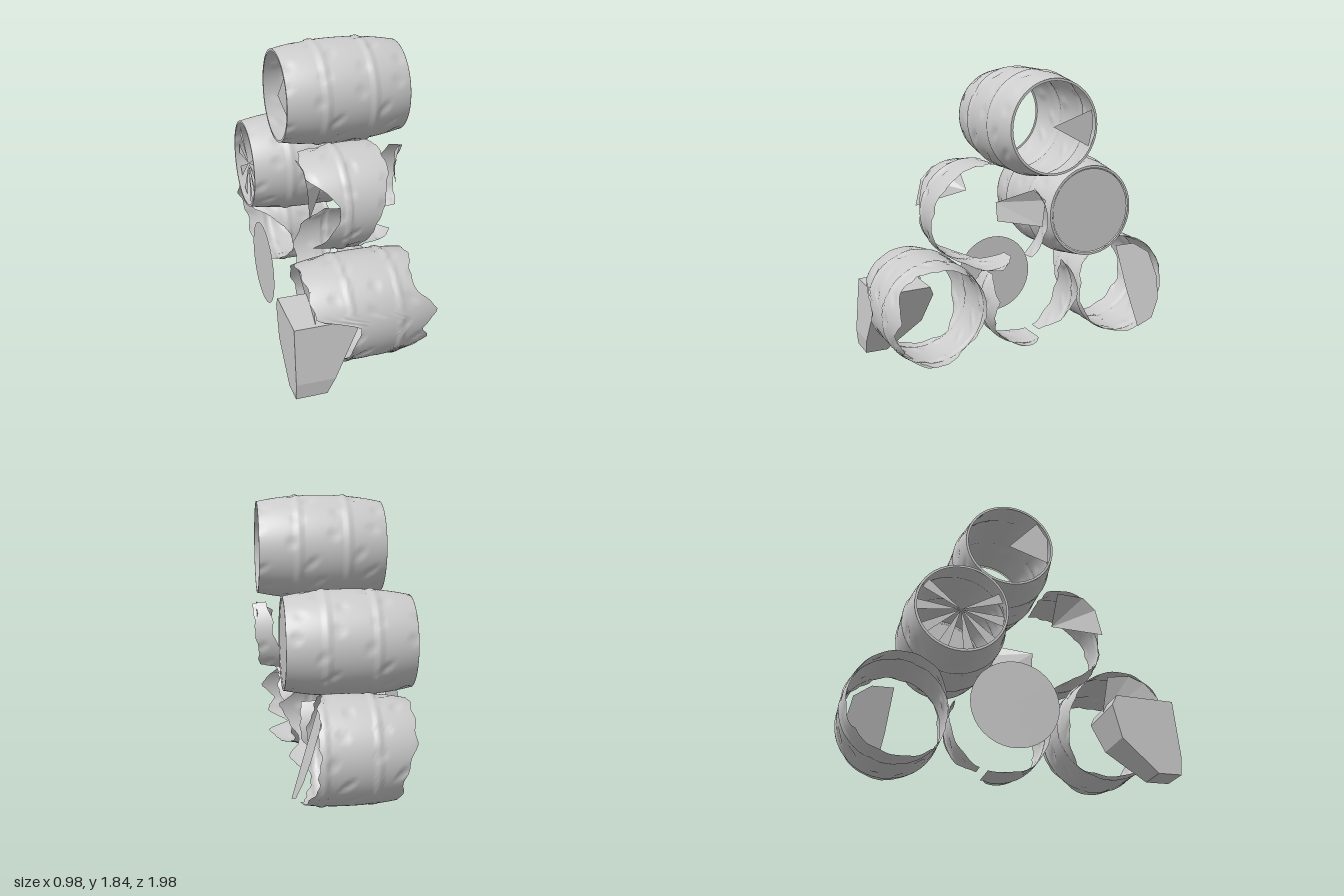
import * as THREE from 'three';

const grey = new THREE.MeshStandardMaterial({ color: 0xcccccc, side: THREE.DoubleSide });
const { lerp, smoothstep, degToRad } = THREE.MathUtils;
const HALF = 0.39; // half the length of a whole barrel

// Radius of a barrel at offset t from its middle: bulge plus two raised hoops
function radiusAt(t) {
  const bulge = 0.325 - 0.04 * Math.pow(Math.abs(t) / HALF, 2.2);
  const hoop = 1 - smoothstep(Math.abs(Math.abs(t) - 0.15), 0.01, 0.025);
  return bulge + 0.007 * hoop;
}

// Interpolate the control rows [angle, xMin, xMax] at one angle
function spanAt(rows, a) {
  let i = 0;
  while (i < rows.length - 2 && a > rows[i + 1][0]) i++;
  const [p, q] = [rows[i], rows[i + 1]];
  const k = (a - p[0]) / (q[0] - p[0]);
  return [lerp(p[1], q[1], k), lerp(p[2], q[2], k)];
}

function add(name, geo, group) {
  const mesh = new THREE.Mesh(geo, grey);
  mesh.name = name;
  group.add(mesh);
}

// Curved piece of barrel wall; angle 0 is the top, 90 the front (+z)
function wall(name, b, rows, jag = 0) {
  const a0 = rows[0][0], a1 = rows[rows.length - 1][0];
  const nu = Math.max(10, Math.round((a1 - a0) / 4)), nv = 44;
  const geo = new THREE.PlaneGeometry(1, 1, nv, nu);
  const pos = geo.attributes.position;
  for (let i = 0; i <= nu; i++) {
    const a = lerp(a0, a1, i / nu), r = degToRad(a);
    let [x0, x1] = spanAt(rows, a);
    x0 += jag * Math.sin(a * 0.21 + 1);
    x1 += jag * (Math.sin(a * 0.17) + 0.6 * Math.sin(a * 0.41));
    for (let j = 0; j <= nv; j++) {
      const x = lerp(x0, x1, j / nv);
      // scattered dents in the staves
      const wave = Math.sin(x * 23 + b.z * 9 + 2 * Math.sin(r * 3)) * Math.sin(r * 7 + b.y * 7 + x * 4);
      const rad = radiusAt(x - b.x) - 0.02 * Math.max(0, wave - 0.6);
      pos.setXYZ(i * (nv + 1) + j, x, b.y + rad * Math.cos(r), b.z + rad * Math.sin(r));
    }
  }
  geo.computeVertexNormals();
  add(name, geo, b.group);
}

// Lid piece across the barrel: a faceted fan of [z, y, x] points around the first one
function plate(name, group, x, points) {
  const at = (i) => [points[i][2] ?? x, points[i][1], points[i][0]];
  const corners = [];
  for (let i = 1; i < points.length - 1; i++) corners.push(...at(0), ...at(i), ...at(i + 1));
  const geo = new THREE.BufferGeometry();
  geo.setAttribute('position', new THREE.Float32BufferAttribute(corners, 3));
  geo.computeVertexNormals();
  add(name, geo, group);
}

function disc(b, x) {
  const geo = new THREE.CircleGeometry(0.268, 40);
  geo.rotateY(Math.PI / 2).translate(x, b.y, b.z);
  add('barrelLid', geo, b.group);
}

function rim(b, x) {
  const geo = new THREE.RingGeometry(0.272, 0.287, 48);
  geo.rotateY(Math.PI / 2).translate(x, b.y, b.z);
  add('barrelRim', geo, b.group);
}

export function createModel() {
  const model = new THREE.Group();
  model.name = 'brokenBarrelStack';
  const barrel = (name, x, y, z) => {
    const group = new THREE.Group();
    group.name = name;
    model.add(group);
    return { group, x, y, z };
  };

  // Whole barrel on top, with a broken lid at each end
  const top = barrel('topBarrel', 0.07, 1.51, 0);
  wall('barrelWall', top, [[0, -0.32, 0.46], [360, -0.32, 0.46]]);
  rim(top, -0.32);
  rim(top, 0.46);
  plate('lidPiece', top.group, -0.3, [[0, 1.51], [0.26, 1.42], [0.26, 1.6], [0.19, 1.71]]);
  plate('lidPiece', top.group, 0.44, [[0, 1.51], [-0.26, 1.6], [-0.27, 1.5], [-0.24, 1.38]]);

  // Middle row, back: whole barrel with one lid and a splintered one
  const midBack = barrel('middleBackBarrel', -0.06, 0.95, -0.33);
  wall('barrelWall', midBack, [[0, -0.45, 0.33], [360, -0.45, 0.33]]);
  rim(midBack, -0.45);
  rim(midBack, 0.33);
  disc(midBack, 0.325);
  for (let i = 0; i < 8; i++) {
    const a = degToRad(60 + i * 34), d = 0.25;
    const at = (ang) => [midBack.z + 0.27 * Math.sin(ang), midBack.y + 0.27 * Math.cos(ang)];
    plate('lidSplinter', midBack.group, -0.42, [[midBack.z, midBack.y], at(a), at(a + d)]);
  }

  // Middle row, front: broken wall pieces and lid pieces folded inwards
  const midFront = barrel('middleFrontBarrel', 0.09, 0.95, 0.335);
  wall('brokenWall', midFront, [
    [-14, -0.25, 0.18], [10, -0.29, 0.2], [40, -0.29, 0.21], [78, -0.11, 0.16],
    [95, -0.12, 0.13], [140, -0.23, 0.04], [160, -0.22, 0.1], [175, -0.15, 0.3],
    [190, 0.0, 0.34], [213, 0.08, 0.2]], 0.005);
  wall('brokenWall', midFront, [
    [222, 0.3, 0.44], [240, 0.3, 0.45], [272, 0.36, 0.47], [285, 0.36, 0.48], [312, 0.4, 0.48]], 0.005);
  plate('lidPiece', midFront.group, -0.29, [
    [0.33, 1.06, -0.11], [0.61, 0.95], [0.57, 1.12], [0.49, 1.2], [0.32, 1.21]]);
  plate('lidPiece', midFront.group, 0.46, [
    [0.33, 1.07, 0.34], [0.14, 1.15], [0.06, 1.08], [0.08, 0.92], [0.33, 0.96, 0.36]]);

  // Bottom row, front: battered barrel
  const lowFront = barrel('bottomFrontBarrel', 0.0, 0.375, 0.665);
  wall('brokenWall', lowFront, [
    [-100, -0.3, 0.25], [-60, -0.36, 0.3], [0, -0.38, 0.3], [50, -0.37, 0.24], [70, -0.36, 0.36],
    [82, -0.1, 0.38], [100, -0.12, 0.3], [120, -0.16, 0.34], [135, -0.19, 0.2], [150, -0.2, 0.34],
    [180, -0.19, 0.28], [220, -0.15, 0.18], [260, -0.3, 0.25]], 0.008);
  plate('lidPiece', lowFront.group, -0.36, [
    [0.575, 0.39, -0.3], [0.95, 0.41], [0.92, 0.52], [0.84, 0.61], [0.74, 0.65], [0.6, 0.63]]);

  // Solid chunk leaning against the front barrel, with a slanted inner end
  const outline = [[0.97, 0], [0.83, 0], [0.62, 0.2], [0.57, 0.4], [0.6, 0.46], [0.95, 0.45], [0.98, 0.1]];
  const chunk = new THREE.ExtrudeGeometry(
    new THREE.Shape(outline.map(([z, y]) => new THREE.Vector2(z, y))), { depth: 0.2, bevelEnabled: false });
  chunk.rotateY(-Math.PI / 2).translate(-0.29, 0, 0);
  const p = chunk.attributes.position;
  for (let i = 0; i < p.count; i++) if (p.getX(i) > -0.4) p.setX(i, -0.3 + 0.48 * p.getY(i));
  chunk.computeVertexNormals();
  add('solidChunk', chunk, model);

  // Bottom row, middle: lid and scattered wall pieces
  const lowMid = barrel('bottomMiddleBarrel', -0.05, 0.375, 0);
  disc(lowMid, -0.42);
  wall('brokenWall', lowMid, [
    [55, 0.0, 0.14], [80, -0.07, 0.3], [105, -0.05, 0.25], [125, 0.0, 0.16],
    [150, -0.1, 0.25], [180, -0.15, 0.2], [196, -0.1, 0.1]], 0.008);
  wall('brokenWall', lowMid, [
    [205, -0.1, 0.0], [228, -0.12, 0.1], [260, -0.12, 0.2], [285, -0.06, 0.23], [308, 0.08, 0.2]], 0.008);

  // Bottom row, back: barrel broken away at both ends, lid leaning outwards
  const lowBack = barrel('bottomBackBarrel', 0.0, 0.375, -0.665);
  wall('brokenWall', lowBack, [
    [-180, -0.27, 0.25], [-140, -0.3, 0.23], [-110, -0.3, 0.18], [-70, -0.37, 0.18], [-30, -0.37, 0.17], [0, -0.37, 0.14],
    [50, -0.37, 0.14], [80, -0.17, 0.18], [110, -0.1, 0.18], [150, -0.2, 0.18], [180, -0.27, 0.25]], 0.008);
  const leaning = [
    [-0.67, 0.39], [-0.64, 0.64], [-0.78, 0.64], [-0.89, 0.57], [-0.93, 0.4], [-0.91, 0.26], [-0.84, 0.15], [-0.72, 0.11], [-0.67, 0.38]];
  plate('lidPiece', lowBack.group, 0.3, leaning.map(([z, y]) => [z, y, 0.35 - 0.32 * y]));

  return model;
}
